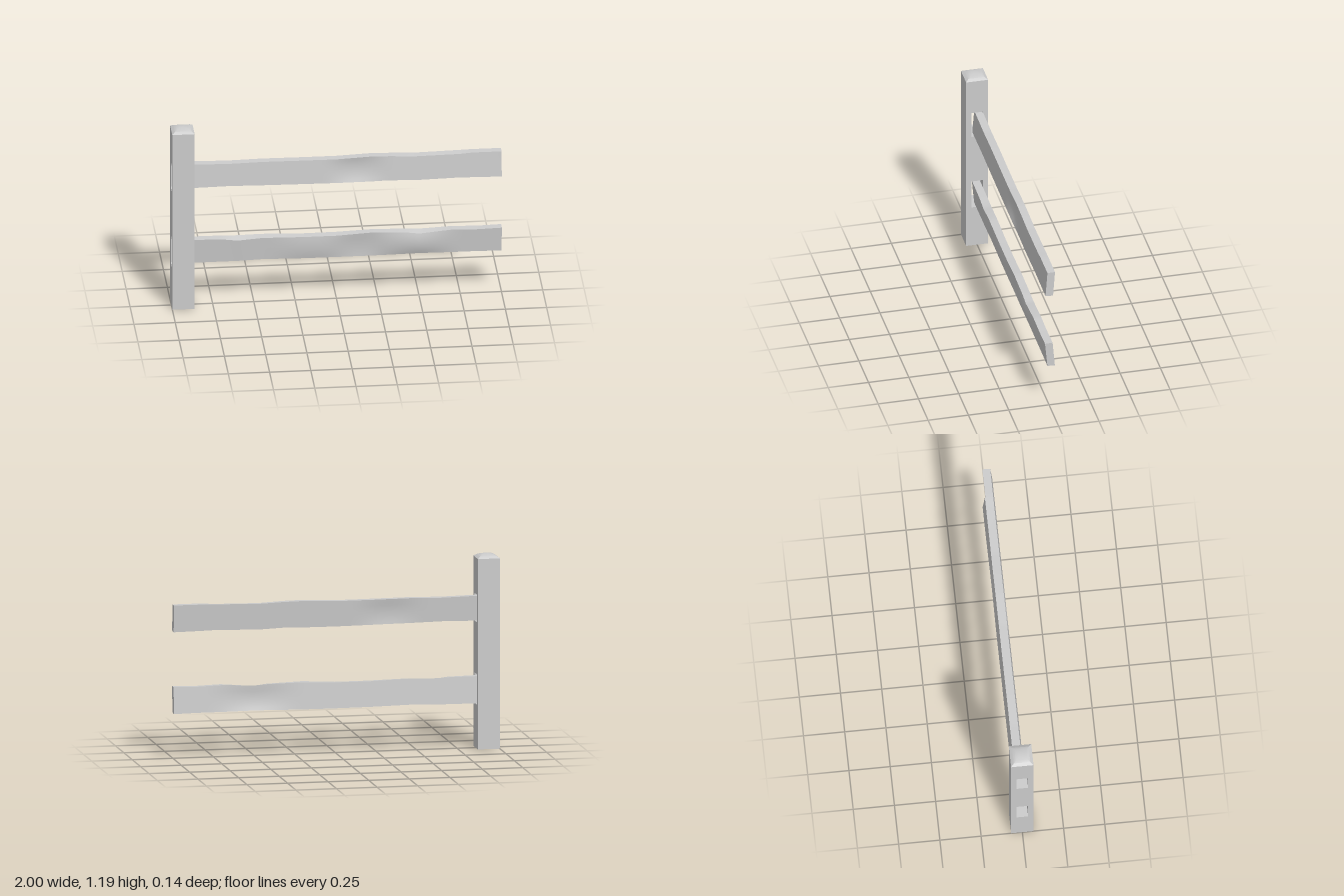
import * as THREE from 'three';
import { mergeGeometries, toCreasedNormals } from 'three/addons/utils/BufferGeometryUtils.js';

const mat = new THREE.MeshStandardMaterial({ color: 0xcccccc });
const { lerp } = THREE.MathUtils;

// Curved sheet: a plane whose vertices follow f(u, v)
function patch(nu, nv, f) {
  const g = new THREE.PlaneGeometry(1, 1, nu, nv);
  const p = g.attributes.position;
  for (let i = 0; i < p.count; i++) p.setXYZ(i, ...f(p.getX(i) + 0.5, p.getY(i) + 0.5));
  g.computeVertexNormals();
  return g;
}

// Linear lookup in rows of [x, value, value, ...]
function sample(rows, x) {
  let i = 1;
  while (i < rows.length - 1 && rows[i][0] < x) i++;
  const a = rows[i - 1], b = rows[i];
  return a.map((v, k) => lerp(v, b[k], (x - a[0]) / (b[0] - a[0])));
}

// Rough-hewn rail. rows: [x, top front, top back, bottom]
// zTop, zBottom: [front, back]; bumps: [side, x, height 0-1, half length, depth]
function makeRail(name, rows, zTop, zBottom, bumps) {
  const x0 = -0.9, x1 = 1, n = 76;
  const point = (x, side, v) => {
    const [, front, back, bottom] = sample(rows, x);
    const low = bottom - side * 0.003;
    let z = lerp(zBottom[side], zTop[side], v);
    for (const [s, bx, bv, half, depth] of bumps) {
      if (s !== side) continue;
      const d = Math.max(0, 1 - ((x - bx) / half) ** 2);
      z += depth * d * d * Math.max(0, 1 - ((v - bv) / 0.5) ** 2);
    }
    return [x, lerp(low, side ? back : front, v), z];
  };
  const along = (u) => lerp(x0, x1, u);
  const across = (x, u, v) => {
    const a = point(x, 0, v), b = point(x, 1, v);
    return a.map((c, k) => lerp(c, b[k], u));
  };
  const parts = [
    patch(n, 8, (u, v) => point(along(u), 0, v)),          // front
    patch(n, 8, (u, v) => point(along(1 - u), 1, v)),      // back
    patch(n, 1, (u, v) => across(along(u), v, 1)),         // top
    patch(n, 1, (u, v) => across(along(u), 1 - v, 0)),     // underside
    patch(1, 1, (u, v) => across(x1, u, v)),               // outer end
    patch(1, 1, (u, v) => across(x0, 1 - u, v)),           // end inside the post
  ];
  const mesh = new THREE.Mesh(mergeGeometries(parts), mat);
  mesh.name = name;
  return mesh;
}

function makePost() {
  const post = new THREE.Group();
  post.name = 'post';
  const h = 0.068, top = 1.165;
  const rect = (P, w, y0, y1) => {
    const s = new P();
    s.moveTo(-w, y0).lineTo(w, y0).lineTo(w, y1).lineTo(-w, y1).closePath();
    return s;
  };

  // Shaft with two mortises cut right through
  const shape = rect(THREE.Shape, h, 0, top);
  shape.holes.push(rect(THREE.Path, 0.035, 0.27, 0.455), rect(THREE.Path, 0.035, 0.773, 0.942));
  const shaftGeo = new THREE.ExtrudeGeometry(shape, { depth: 0.135, bevelEnabled: false });
  shaftGeo.rotateY(Math.PI / 2).translate(-1, 0, 0);
  const shaft = new THREE.Mesh(shaftGeo, mat);
  shaft.name = 'postShaft';

  // Shallow four-sided domed cap
  const profile = [[h, 0], [0.05, 0.012], [0.034, 0.019], [0.017, 0.023], [0, 0.024]]
    .map(([r, y]) => new THREE.Vector2(r * Math.SQRT2, y));
  const capGeo = new THREE.LatheGeometry(profile, 4).rotateY(Math.PI / 4);
  const cap = new THREE.Mesh(toCreasedNormals(capGeo, 0.6), mat);
  cap.name = 'postCap';
  cap.position.set(-1 + 0.0675, top, 0);
  post.add(shaft, cap);
  return post;
}

export function createModel() {
  const model = new THREE.Group();
  model.name = 'fenceSection';

  const upper = makeRail('upperRail', [
    [-0.9, 0.935, 0.936, 0.784], [-0.65, 0.93, 0.931, 0.788], [-0.45, 0.934, 0.935, 0.784],
    [-0.2, 0.932, 0.933, 0.781], [0, 0.931, 0.933, 0.779], [0.2, 0.94, 0.941, 0.78],
    [0.32, 0.938, 0.939, 0.783], [0.47, 0.93, 0.933, 0.777], [0.75, 0.934, 0.939, 0.783],
    [0.82, 0.94, 0.941, 0.781], [1, 0.94, 0.941, 0.778],
  ], [0.01, -0.037], [0.022, -0.025], [
    [0, 0.12, 0.5, 0.22, -0.012], [1, -0.32, 0.45, 0.25, 0.008],
  ]);

  const lower = makeRail('lowerRail', [
    [-0.9, 0.44, 0.441, 0.28], [-0.7, 0.436, 0.44, 0.281], [-0.6, 0.423, 0.437, 0.281],
    [-0.45, 0.434, 0.44, 0.286], [-0.2, 0.429, 0.432, 0.281], [0, 0.429, 0.433, 0.28],
    [0.2, 0.44, 0.441, 0.28], [0.42, 0.432, 0.437, 0.283], [0.5, 0.421, 0.432, 0.284],
    [0.7, 0.439, 0.441, 0.282], [0.85, 0.434, 0.436, 0.282], [1, 0.438, 0.44, 0.279],
  ], [0.025, -0.022], [0.01, -0.036], [
    [0, 0.48, 0.5, 0.3, 0.012], [0, -0.15, 0.5, 0.3, 0.006], [0, 0.12, 0.45, 0.2, -0.005],
    [1, 0.5, 0.45, 0.32, 0.01],
  ]);

  model.add(makePost(), upper, lower);
  return model;
}
